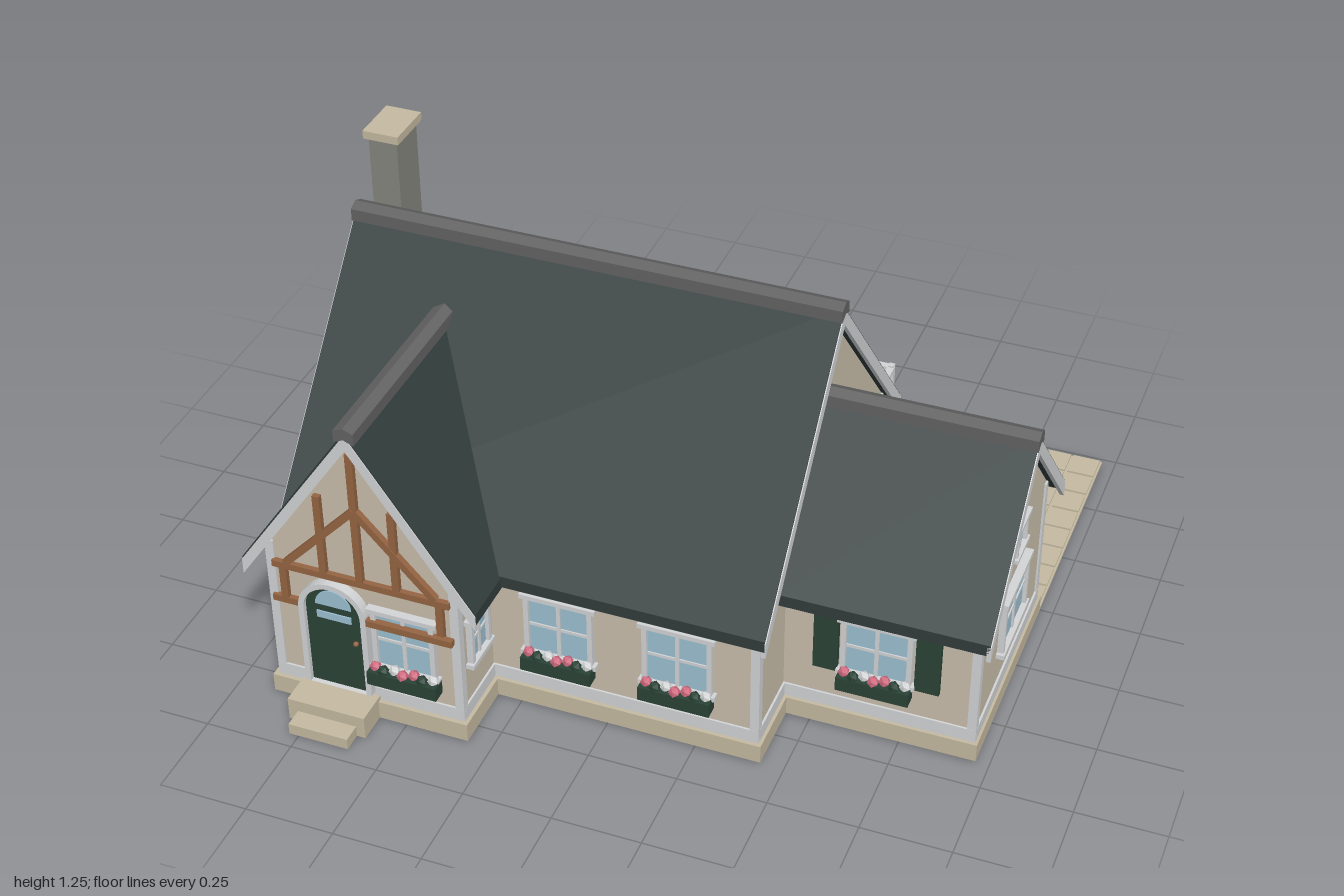
import * as THREE from 'three';

const mat = (name, color) => {
  const m = new THREE.MeshStandardMaterial({ color });
  m.name = name;
  return m;
};
const M = {
  wall: mat('wall plaster', 0xc9beab),
  stone: mat('pale stone', 0xc5baa1),
  chimney: mat('chimney stone', 0x85857e),
  roof: mat('roof slate', 0x323d3c),
  ridge: mat('ridge grey', 0x636364),
  trim: mat('white trim', 0xd2d4d6),
  wood: mat('brown wood', 0x956543),
  glass: mat('window glass', 0x9dc0d2),
  green: mat('dark green', 0x2a4336),
  pink: mat('pink flower', 0xd06a80),
};

function add(parent, name, geo, material, x = 0, y = 0, z = 0) {
  const m = new THREE.Mesh(geo, material);
  m.name = name;
  m.position.set(x, y, z);
  parent.add(m);
  return m;
}
// box given by its min/max corners
function span(parent, name, material, x0, x1, y0, y1, z0, z1) {
  return add(parent, name, new THREE.BoxGeometry(x1 - x0, y1 - y0, z1 - z0), material,
    (x0 + x1) / 2, (y0 + y1) / 2, (z0 + z1) / 2);
}
function group(parent, name, x = 0, y = 0, z = 0, ry = 0) {
  const g = new THREE.Group();
  g.name = name;
  g.position.set(x, y, z);
  g.rotation.y = ry;
  parent.add(g);
  return g;
}
function extrude(pts, z0, z1) {
  const s = new THREE.Shape(pts.map(p => new THREE.Vector2(...p)));
  return new THREE.ExtrudeGeometry(s, { depth: z1 - z0, bevelEnabled: false }).translate(0, 0, z0);
}
// inverted-V slab: half width H, ridge R, eave E, vertical thickness t
const chevron = (H, R, E, t, z0, z1) =>
  extrude([[-H, E - t], [0, R - t], [H, E - t], [H, E], [0, R], [-H, E]], z0, z1);

// gabled block running along local z: walls, roof, bargeboards, ridge cap, corner boards
function gabled(parent, name, o) {
  const g = group(parent, name, o.x || 0, 0, o.z || 0, o.ry || 0);
  const { H, R, E, w, t = 0.035 } = o, slope = (R - E) / H, top = R - t - slope * w;
  add(g, 'walls', extrude([[-w, 0.05], [w, 0.05], [w, top], [0, R - t], [-w, top]], o.w0, o.w1), M.wall);
  add(g, 'roof', chevron(H, R, E, t, o.r0, o.r1), M.roof);
  add(g, 'ridgeCap', chevron(0.028, R + 0.017, R + 0.005, 0.035, o.c0 ?? o.r0 - 0.004, o.r1 + 0.004), M.ridge);
  for (const [wallEnd, roofEnd, d] of [[o.w0, o.r0, -1], [o.w1, o.r1, 1]]) {
    if (!o.ends.includes(d)) continue;
    const a = roofEnd - (d > 0 ? 0.012 : 0), b = a + 0.012;
    add(g, 'bargeboard', chevron(H, R - 0.006, E - 0.006, 0.048, a + d * 0.003, b + d * 0.003), M.trim);
    for (const s of [-1, 1])
      add(g, 'cornerBoard', new THREE.BoxGeometry(0.025, top - 0.06, 0.025), M.trim,
        s * (w - 0.007), (top + 0.06) / 2, wallEnd - d * 0.007);
    add(g, 'baseBoard', new THREE.BoxGeometry(2 * w, 0.04, 0.012), M.trim, 0, 0.08, wallEnd);
  }
  for (const s of [-1, 1])
    add(g, 'baseBoard', new THREE.BoxGeometry(0.012, 0.04, o.w1 - o.w0), M.trim, s * w, 0.08, (o.w0 + o.w1) / 2);
  return g;
}

// window facing local +z, centred on its position
function makeWindow(parent, x, y, z, ry, w, h, { box = false, shutters = false, f = 0.014 } = {}) {
  const g = group(parent, 'window', x, y, z, ry);
  add(g, 'glass', new THREE.BoxGeometry(w - f, h - f, 0.008), M.glass, 0, 0, 0.003);
  for (const s of [-1, 1]) {
    add(g, 'frameSide', new THREE.BoxGeometry(f, h, 0.024), M.trim, s * (w - f) / 2, 0, 0.006);
    add(g, 'frameRail', new THREE.BoxGeometry(w + 0.02, f, 0.03), M.trim, 0, s * (h - f) / 2, 0.008);
    if (shutters) add(g, 'shutter', new THREE.BoxGeometry(0.068, h, 0.014), M.green, s * (w / 2 + 0.042), 0, 0.007);
  }
  add(g, 'mullion', new THREE.BoxGeometry(0.011, h - f, 0.016), M.trim, 0, 0, 0.004);
  add(g, 'muntin', new THREE.BoxGeometry(w - f, 0.009, 0.014), M.trim, 0, 0, 0.004);
  if (box) {
    const b = group(g, 'flowerBox', 0, -h / 2 - 0.015, 0.025);
    add(b, 'planter', new THREE.BoxGeometry(0.2, 0.042, 0.042), M.green);
    for (let i = 0; i < 7; i++)
      add(b, 'flower', new THREE.IcosahedronGeometry(0.017, 0), [M.pink, M.green, M.trim, M.pink][i % 4],
        -0.084 + i * 0.028, 0.027, i % 2 ? 0.008 : -0.004);
  }
}

// arched door standing on local y = 0, facing +z
function arch(r, spring, hole) {
  const make = (C, q) => {
    const s = new C();
    s.moveTo(-q, 0); s.lineTo(q, 0); s.lineTo(q, spring);
    s.absarc(0, spring, q, 0, Math.PI, false);
    s.lineTo(-q, 0);
    return s;
  };
  const s = make(THREE.Shape, r);
  if (hole) s.holes.push(make(THREE.Path, hole));
  return s;
}
function makeDoor(parent, x, y, z, ry) {
  const g = group(parent, 'archedDoor', x, y, z, ry);
  const ex = (s, depth) => new THREE.ExtrudeGeometry(s, { depth, bevelEnabled: false, curveSegments: 10 });
  add(g, 'doorSurround', ex(arch(0.098, 0.255, 0.082), 0.028), M.trim);
  add(g, 'doorLeaf', ex(arch(0.083, 0.255), 0.014), M.green);
  const fan = new THREE.Shape();
  fan.absarc(0, 0, 0.052, 0, Math.PI, false);
  add(g, 'doorFanlight', ex(fan, 0.004), M.glass, 0, 0.272, 0.014);
  add(g, 'doorPane', new THREE.BoxGeometry(0.1, 0.022, 0.006), M.glass, 0, 0.237, 0.015);
  add(g, 'doorKnob', new THREE.SphereGeometry(0.008, 8, 6), M.wood, 0.06, 0.165, 0.02);
}

// timber between two points on the gable face
function timber(parent, x0, y0, x1, y1, z, w = 0.02) {
  const m = add(parent, 'timber', new THREE.BoxGeometry(Math.hypot(x1 - x0, y1 - y0), w, 0.018), M.wood,
    (x0 + x1) / 2, (y0 + y1) / 2, z);
  m.rotation.z = Math.atan2(y1 - y0, x1 - x0);
}

export function createModel() {
  const house = new THREE.Group();
  house.name = 'cottage';
  const Q = Math.PI / 2;

  // gabled volumes
  gabled(house, 'mainHouse', { z: 0.095, ry: Q, H: 0.573, R: 1.122, E: 0.468, w: 0.508,
    w0: -0.87, w1: 0.42, r0: -0.917, r1: 0.457, ends: [-1, 1] });
  gabled(house, 'sideWing', { z: 0.087, ry: Q, H: 0.37, R: 0.848, E: 0.447, w: 0.31,
    w0: 0.4, w1: 0.95, r0: 0.42, r1: 0.987, ends: [1] });
  gabled(house, 'entranceGable', { x: -0.605, H: 0.335, R: 0.95, E: 0.462, w: 0.27,
    w0: 0.32, w1: 0.8, r0: 0.2, r1: 0.825, c0: 0.23, ends: [1] });

  // foundations, steps and patio
  const base = group(house, 'foundation');
  for (const [x0, x1, z0, z1] of [[-0.89, 0.435, -0.43, 0.62], [-0.893, -0.318, 0.5, 0.818],
    [0.4, 0.963, -0.24, 0.413], [-1, -0.86, -0.262, -0.038], [-0.22, 0.04, -0.485, -0.4]])
    span(base, 'foundationBlock', M.stone, x0, x1, 0.005, 0.06, z0, z1);
  span(base, 'upperStep', M.stone, -0.803, -0.577, 0.005, 0.073, 0.8, 0.905);
  span(base, 'lowerStep', M.stone, -0.775, -0.602, 0.005, 0.038, 0.88, 0.96);
  const patio = group(house, 'patio');
  span(patio, 'patioSlab', M.stone, 0.432, 0.963, 0.006, 0.014, -0.97, -0.23);
  for (let i = 0; i < 6; i++) for (let j = 0; j < 8; j++) {
    const x = 0.436 + i * 0.0882, z = -0.966 + j * 0.0905;
    span(patio, 'paver', M.stone, x, x + 0.08, 0.012, 0.02, z, z + 0.082);
  }

  // chimney
  const ch = group(house, 'chimney');
  span(ch, 'chimneyBase', M.chimney, -0.988, -0.86, 0.06, 0.44, -0.25, -0.05);
  span(ch, 'chimneyShoulder', M.chimney, -0.972, -0.86, 0.44, 0.48, -0.225, -0.07);
  span(ch, 'chimneyShaft', M.chimney, -0.962, -0.878, 0.48, 1.23, -0.203, -0.082);
  span(ch, 'chimneyCap', M.stone, -0.973, -0.868, 1.228, 1.252, -0.218, -0.07);

  // windows: front, right, left, back
  const win = group(house, 'windows');
  for (const x of [-0.135, 0.2]) makeWindow(win, x, 0.283, 0.603, 0, 0.195, 0.205, { box: true });
  makeWindow(win, -0.49, 0.283, 0.8, 0, 0.18, 0.205, { box: true });
  makeWindow(win, 0.677, 0.29, 0.397, 0, 0.195, 0.19, { box: true, shutters: true });
  makeWindow(win, 0.95, 0.293, 0.092, Q, 0.235, 0.185);
  makeWindow(win, 0.95, 0.527, 0.092, Q, 0.1, 0.105, { f: 0.012 });
  makeWindow(win, 0.42, 0.293, -0.28, Q, 0.125, 0.165);
  makeWindow(win, -0.335, 0.293, 0.7, Q, 0.115, 0.16);
  makeWindow(win, -0.875, 0.293, 0.68, -Q, 0.115, 0.16);
  makeWindow(win, -0.87, 0.62, 0.15, -Q, 0.1, 0.105, { f: 0.012 });
  makeWindow(win, -0.42, 0.293, -0.413, Math.PI, 0.195, 0.195);
  makeWindow(win, -0.71, 0.283, -0.413, Math.PI, 0.125, 0.165);
  makeWindow(win, 0.69, 0.293, -0.223, Math.PI, 0.195, 0.19);
  makeDoor(house, -0.688, 0.085, 0.8, 0);
  makeDoor(house, -0.09, 0.085, -0.413, Math.PI);

  // half-timbering on the entrance gable
  const tim = group(house, 'halfTimbering', -0.605, 0, 0.806);
  timber(tim, -0.255, 0.455, 0.255, 0.455, 0);
  timber(tim, 0, 0.46, 0, 0.875, 0);
  timber(tim, -0.262, 0.338, -0.178, 0.338, 0);
  timber(tim, 0.012, 0.338, 0.262, 0.338, 0.012);
  for (const s of [-1, 1]) {
    timber(tim, s * 0.105, 0.46, s * 0.105, 0.715, 0);
    timber(tim, s * 0.225, 0.34, s * 0.225, 0.455, 0);
    timber(tim, 0, 0.695, s * 0.215, 0.465, 0.002);
  }

  // deck: boards, joists, posts and side steps
  const deck = group(house, 'deck');
  for (let i = 0; i < 11; i++) {
    const z = -0.94 + i * 0.048;
    span(deck, 'deckBoard', M.wood, -0.485, 0.31, 0.072, 0.085, z, z + 0.04);
  }
  for (let i = 0; i < 9; i++) {
    const x = -0.475 + i * 0.0955;
    span(deck, 'joist', M.wood, x, x + 0.014, 0.045, 0.072, -0.93, -0.415);
  }
  for (const z of [-0.94, -0.68, -0.44]) {
    span(deck, 'beam', M.wood, -0.485, 0.31, 0.04, 0.066, z, z + 0.014);
    for (const x of [-0.475, -0.1, 0.28]) span(deck, 'deckPost', M.wood, x, x + 0.025, 0, 0.07, z, z + 0.025);
  }
  for (const [x, y] of [[0.31, 0.075], [0.352, 0.053], [0.394, 0.033]])
    span(deck, 'deckStep', M.wood, x, x + 0.042, y - 0.014, y, -0.798, -0.567);
  for (const z of [-0.79, -0.585]) span(deck, 'stepStringer', M.wood, 0.31, 0.41, 0.005, 0.035, z, z + 0.012);

  // railings run between two points on the deck
  function railing(x0, z0, x1, z1) {
    const L = Math.hypot(x1 - x0, z1 - z0);
    const g = group(house, 'railing', x0, 0, z0, Math.atan2(-(z1 - z0), x1 - x0));
    span(g, 'topRail', M.trim, 0, L, 0.212, 0.225, -0.011, 0.011);
    span(g, 'bottomRail', M.trim, 0, L, 0.103, 0.112, -0.006, 0.006);
    const n = Math.round(L / 0.033), posts = Math.max(1, Math.round(L / 0.2));
    for (let i = 1; i < n; i++) span(g, 'baluster', M.trim, i * L / n - 0.004, i * L / n + 0.004, 0.108, 0.215, -0.004, 0.004);
    for (let i = 0; i <= posts; i++) span(g, 'railPost', M.trim, i * L / posts - 0.009, i * L / posts + 0.009, 0.08, 0.23, -0.009, 0.009);
  }
  railing(-0.475, -0.425, -0.475, -0.935);
  railing(-0.475, -0.935, 0.3, -0.935);
  railing(0.3, -0.935, 0.3, -0.79);
  railing(0.3, -0.57, 0.3, -0.425);
  return house;
}
